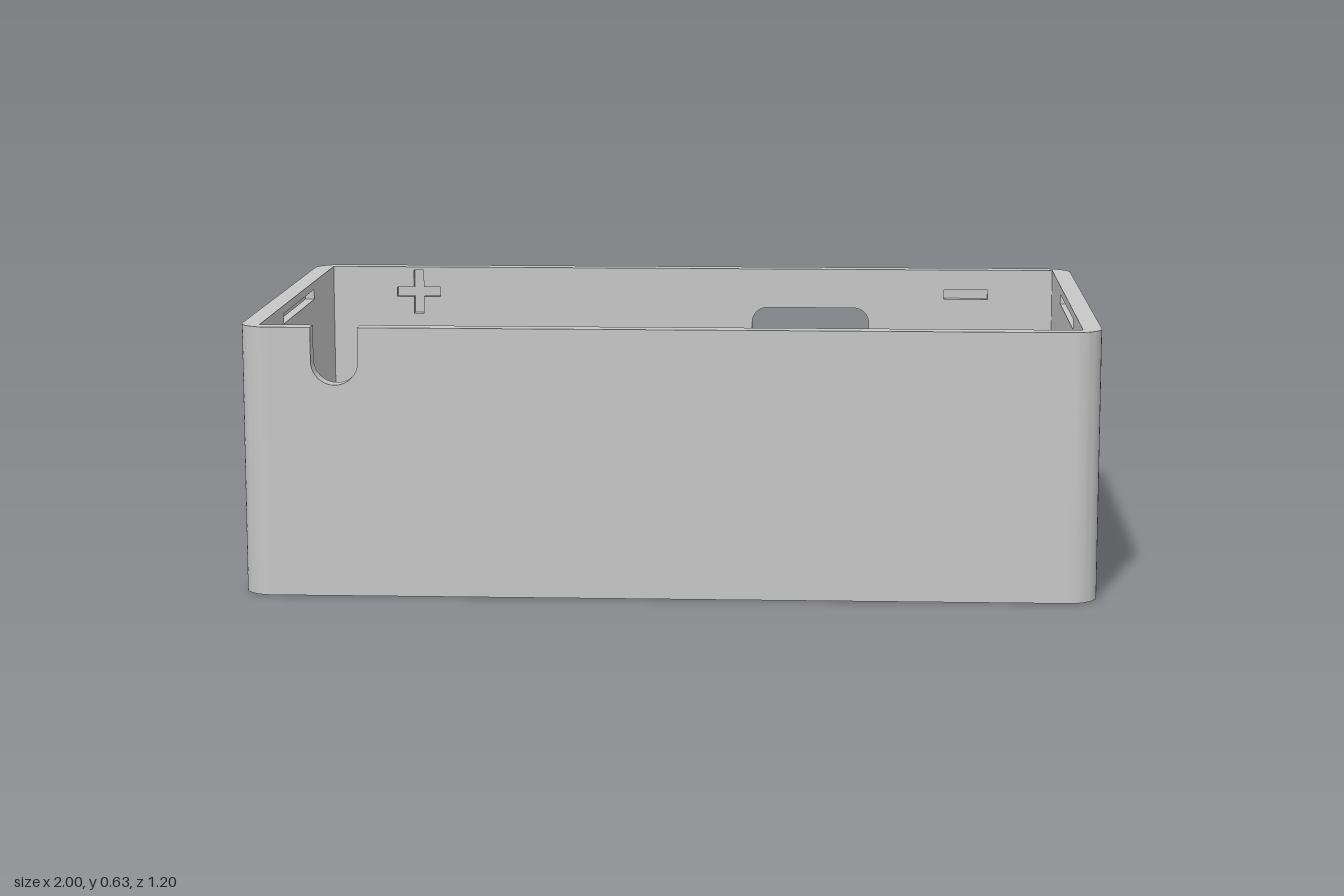
import * as THREE from 'three';
import { toCreasedNormals } from 'three/addons/utils/BufferGeometryUtils.js';

const grey = new THREE.MeshStandardMaterial({ color: 0xc7c7c7 });
grey.name = 'plain grey';

// Main sizes: outer and inner half-widths, height, floor top
const OX = 1, OZ = 0.602, IX = 0.955, IZ = 0.558, H = 0.635, FLOOR = 0.047, R = 0.07;
const CX = OX - R, CZ = OZ - R;

function add(parent, name, geometry) {
  const mesh = new THREE.Mesh(geometry, grey);
  mesh.name = name;
  parent.add(mesh);
  return mesh;
}

// Box given by its limits
function block(parent, name, x0, x1, y0, y1, z0, z1) {
  const mesh = add(parent, name, new THREE.BoxGeometry(x1 - x0, y1 - y0, z1 - z0));
  mesh.position.set((x0 + x1) / 2, (y0 + y1) / 2, (z0 + z1) / 2);
  return mesh;
}

function extrude(shape, depth) {
  const g = new THREE.ExtrudeGeometry(shape, { depth, bevelEnabled: false, curveSegments: 10 });
  return toCreasedNormals(g, Math.PI / 6);
}

const polygon = (pts) => new THREE.Shape(pts.map(([x, y]) => new THREE.Vector2(x, y)));
const rect = (x0, x1, y0, y1) => polygon([[x0, y0], [x1, y0], [x1, y1], [x0, y1]]);

function roundedRect(x0, x1, y0, y1, r) {
  const s = new THREE.Shape();
  s.absarc(x1 - r, y1 - r, r, 0, Math.PI / 2);
  s.absarc(x0 + r, y1 - r, r, Math.PI / 2, Math.PI);
  s.absarc(x0 + r, y0 + r, r, Math.PI, Math.PI * 1.5);
  s.absarc(x1 - r, y0 + r, r, Math.PI * 1.5, Math.PI * 2);
  s.closePath();
  return s;
}

function plusShape(cx, cy, a, t) {
  return polygon([[-t, -a], [t, -a], [t, -t], [a, -t], [a, t], [t, t],
    [t, a], [-t, a], [-t, t], [-a, t], [-a, -t], [-t, -t]].map(([x, y]) => [cx + x, cy + y]));
}

function buildShell(group) {
  block(group, 'floor', -IX, IX, 0, FLOOR, -IZ, IZ);

  // Corner columns: round outside, square inside
  for (const sx of [-1, 1]) for (const sz of [-1, 1]) {
    const pts = [];
    for (let i = 0; i <= 12; i++) {
      const a = (i / 12) * Math.PI / 2;
      pts.push([CX + R * Math.cos(a), CZ + R * Math.sin(a)]);
    }
    pts.push([CX, IZ], [IX, IZ], [IX, CZ]);
    const column = extrude(polygon(pts.map(([x, z]) => [x * sx, -z * sz])), H);
    add(group, 'cornerColumn', column).rotation.x = -Math.PI / 2;
  }

  // Front wall with a cable notch in the rim
  const front = new THREE.Shape();
  front.moveTo(-CX, 0);
  front.lineTo(CX, 0);
  front.lineTo(CX, H);
  front.lineTo(-0.72, H);
  front.lineTo(-0.72, 0.555);
  front.absarc(-0.775, 0.555, 0.055, 0, Math.PI, true);
  front.lineTo(-0.83, H);
  front.lineTo(-CX, H);
  front.closePath();
  add(group, 'frontWall', extrude(front, OZ - IZ)).position.z = IZ;

  // Back wall: port opening right through, shallow marks on the inside
  const mid = 0.58;
  const port = () => roundedRect(0.163, 0.472, 0.345, 0.532, 0.04);
  const outer = rect(-CX, CX, 0, H);
  outer.holes.push(port());
  add(group, 'backWallOuter', extrude(outer, OZ - mid)).position.z = -OZ;
  const inner = rect(-CX, CX, 0, H);
  inner.holes.push(port(), plusShape(-0.727, 0.568, 0.058, 0.013), rect(0.67, 0.786, 0.557, 0.582));
  add(group, 'backWallInner', extrude(inner, mid - IZ)).position.z = -mid;

  // Side walls, each with a long snap groove on the inside
  const midX = 0.978;
  for (const s of [-1, 1]) {
    const skin = add(group, 'sideWallOuter', extrude(rect(-CZ, CZ, 0, H), OX - midX));
    skin.rotation.y = Math.PI / 2;
    skin.position.x = s > 0 ? midX : -OX;
    const lining = rect(-CZ, CZ, 0, H);
    lining.holes.push(rect(-0.23, 0.23, 0.59, 0.615));
    const liner = add(group, 'sideWallInner', extrude(lining, midX - IX));
    liner.rotation.y = Math.PI / 2;
    liner.position.x = s > 0 ? IX : -midX;
  }
}

// Corner holder for the large board: L wall, support pad, two snap nubs
function cornerHolder(parent, x, z, turn) {
  const g = new THREE.Group();
  g.name = 'boardCornerHolder';
  const top = 0.185, t = 0.036, len = 0.157;
  const wall = polygon([[0, 0], [len, 0], [len, -t], [t, -t], [t, -len], [0, -len]]);
  const lWall = add(g, 'holderWall', extrude(wall, top - FLOOR));
  lWall.rotation.x = -Math.PI / 2;
  lWall.position.y = FLOOR;
  block(g, 'supportPad', 0.046, 0.111, FLOOR, 0.115, 0.046, 0.111);
  const nub = polygon([[t, 0.15], [t + 0.012, 0.158], [t, top]]);
  add(g, 'snapNub', extrude(nub, 0.062)).position.z = 0.068;
  const second = add(g, 'snapNub', extrude(nub, 0.062));
  second.rotation.y = -Math.PI / 2;
  second.position.x = 0.13;
  g.position.set(x, 0, z);
  g.rotation.y = turn * Math.PI / 2;
  parent.add(g);
}

export function createModel() {
  const group = new THREE.Group();
  group.name = 'electronicsCase';
  buildShell(group);

  // Battery bay: low partition and wall lugs
  block(group, 'partition', -0.755, 0.75, FLOOR, 0.147, -0.07, -0.034);
  for (const s of [-1, 1]) for (const z of [-0.55, -0.167]) {
    const x0 = s > 0 ? 0.893 : -IX;
    block(group, 'wallLug', x0, x0 + IX - 0.893, FLOOR, 0.162, z, z + 0.087);
  }

  // Large board holders
  cornerHolder(group, -0.945, -0.01, 0);
  cornerHolder(group, -0.945, 0.531, 1);
  cornerHolder(group, 0.05, 0.531, 2);
  cornerHolder(group, 0.05, -0.01, 3);

  // Small board: two support rails and corner posts
  for (const z of [-0.027, 0.45]) {
    block(group, 'supportRail', 0.192, 0.442, FLOOR, 0.377, z, z + 0.056);
  }
  const post = 0.415;
  block(group, 'backPostLeft', 0.475, 0.561, FLOOR, post, -0.07, -0.034);
  block(group, 'backPostLeftLeg', 0.528, 0.561, FLOOR, post, -0.034, 0.039);
  block(group, 'backPostRight', 0.07, 0.156, FLOOR, post, -0.07, -0.034);
  block(group, 'frontPostLeft', 0.475, 0.561, FLOOR, post, 0.514, 0.548);
  block(group, 'frontPostLeftLeg', 0.528, 0.561, FLOOR, post, 0.44, 0.514);
  block(group, 'frontPostRight', 0.07, 0.156, FLOOR, post, 0.514, 0.548);
  block(group, 'frontPostRightLeg', 0.07, 0.103, FLOOR, post, 0.44, 0.514);
  return group;
}
